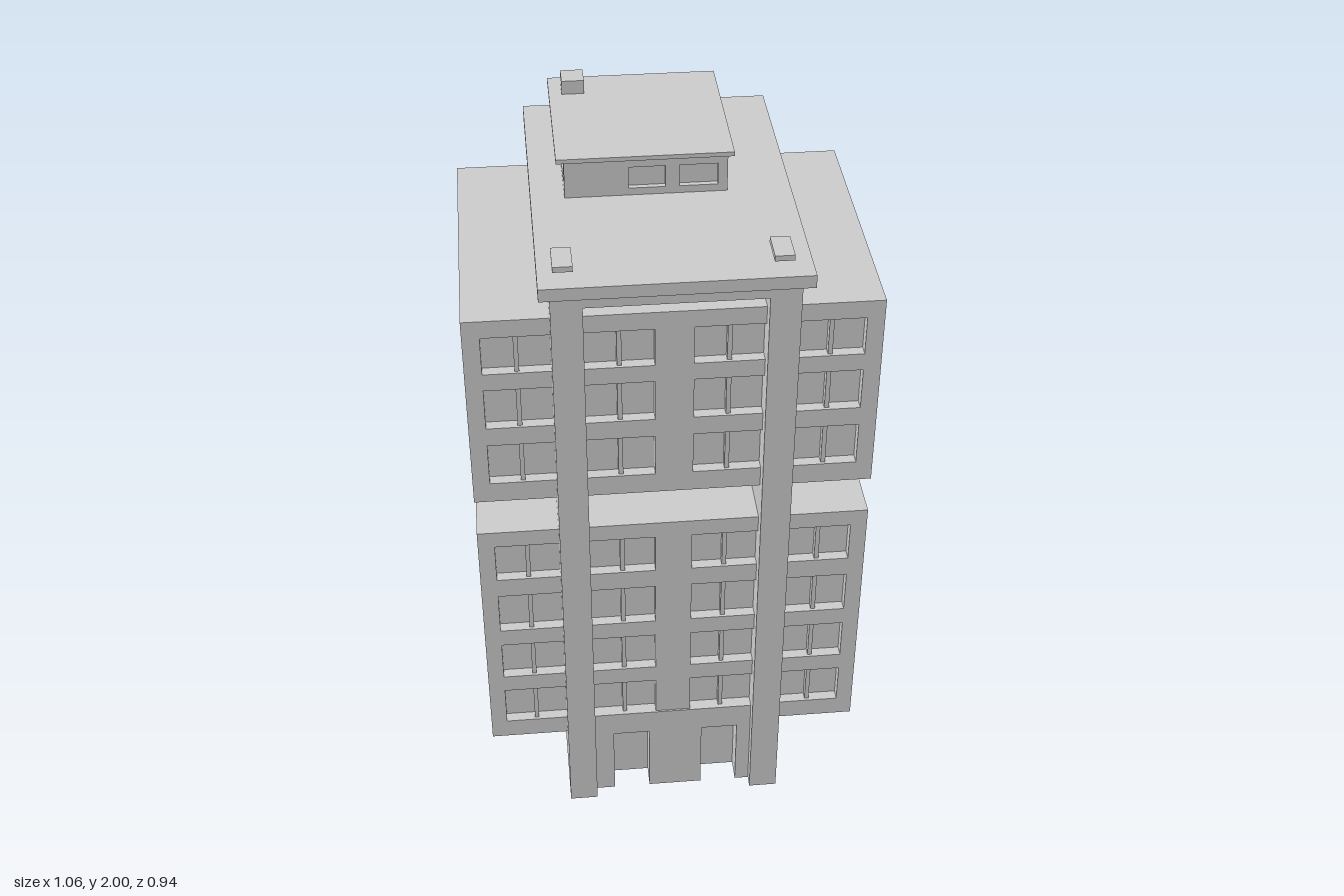
import * as THREE from 'three';

const mat = new THREE.MeshStandardMaterial({ color: 0xcccccc, flatShading: true });
const ZC = 0.005; // middle of the storeys in z

// Box from its limits on each axis
function box(parent, name, x0, x1, y0, y1, z0, z1) {
  const m = new THREE.Mesh(new THREE.BoxGeometry(x1 - x0, y1 - y0, z1 - z0), mat);
  m.position.set((x0 + x1) / 2, (y0 + y1) / 2, (z0 + z1) / 2);
  m.name = name;
  parent.add(m);
  return m;
}

function rectPoints(x0, x1, y0, y1) {
  return [[x0, y0], [x1, y0], [x1, y1], [x0, y1]].map(p => new THREE.Vector2(...p));
}

// Upright panel with rectangular holes; its face is at z = 0 and it reaches back by depth
function panel(parent, name, outer, holes, depth) {
  const shape = new THREE.Shape(rectPoints(...outer));
  for (const h of holes) shape.holes.push(new THREE.Path(rectPoints(...h)));
  const geo = new THREE.ExtrudeGeometry(shape, { depth, bevelEnabled: false });
  geo.translate(0, 0, -depth);
  const m = new THREE.Mesh(geo, mat);
  m.name = name;
  parent.add(m);
  return m;
}

// Front or back of a block: pairs of panes on every floor
function windowFacade(y0, y1, rows) {
  const g = new THREE.Group();
  const holes = [];
  for (const [b, t] of rows)
    for (const [l, r] of [[-0.485, -0.31], [-0.23, -0.05], [0.05, 0.23], [0.31, 0.485]]) {
      holes.push([l, r, b, t]);
      const c = (l + r) / 2;
      box(g, 'mullion', c - 0.006, c + 0.006, b, t, -0.03, -0.008);
    }
  panel(g, 'windowWall', [-0.53, 0.53, y0, y1], holes, 0.03);
  return g;
}

// Side of a block: frame with two bays divided by spandrels
function sideFacade(y0, y1, rows) {
  const g = new THREE.Group();
  const low = rows[0][0], high = rows[rows.length - 1][1];
  const bays = [[-0.34, -0.05], [0.05, 0.34]];
  panel(g, 'sideFrame', [-0.355, 0.355, y0, y1], bays.map(([l, r]) => [l, r, low, high]), 0.03);
  for (const [l, r] of bays)
    for (let i = 1; i < rows.length; i++)
      box(g, 'sideSpandrel', l, r, rows[i - 1][1], rows[i][0], -0.03, -0.014);
  return g;
}

function storeyBlock(name, y0, y1, rows) {
  const g = new THREE.Group();
  g.name = name;
  box(g, 'blockCore', -0.5, 0.5, y0, y1, ZC - 0.355, ZC + 0.355);
  for (const s of [1, -1]) {
    const face = windowFacade(y0, y1, rows);
    face.name = s > 0 ? 'frontFacade' : 'backFacade';
    face.rotation.y = s > 0 ? 0 : Math.PI;
    face.position.z = ZC + s * 0.385;
    const side = sideFacade(y0, y1, rows);
    side.name = s > 0 ? 'leftFacade' : 'rightFacade';
    side.rotation.y = s * Math.PI / 2;
    side.position.set(s * 0.53, 0, ZC);
    g.add(face, side);
  }
  return g;
}

// Ground floor, open underneath, with two recessed doors
function groundFloor() {
  const g = new THREE.Group();
  g.name = 'groundFloor';
  const shape = new THREE.Shape([
    [-0.23, 0], [-0.175, 0], [-0.175, 0.23], [-0.07, 0.23], [-0.07, 0], [0.085, 0],
    [0.085, 0.23], [0.19, 0.23], [0.19, 0], [0.23, 0], [0.23, 0.31], [-0.23, 0.31],
  ].map(p => new THREE.Vector2(...p)));
  const geo = new THREE.ExtrudeGeometry(shape, { depth: 0.07, bevelEnabled: false });
  const wall = new THREE.Mesh(geo, mat);
  wall.name = 'entranceWall';
  wall.position.z = 0.325;
  g.add(wall);
  for (const x of [-0.175, 0.085]) box(g, 'door', x, x + 0.105, 0, 0.23, 0.315, 0.33);
  box(g, 'rearWall', -0.23, 0.23, 0, 0.25, -0.37, -0.35);
  return g;
}

function roofHouse() {
  const g = new THREE.Group();
  g.name = 'roofHouse';
  const y0 = 1.845, y1 = 1.955;
  box(g, 'houseCore', -0.235, 0.155, y0, y1, -0.385, 0.03);
  const front = panel(g, 'houseFront', [-0.25, 0.17, y0, y1],
    [[-0.085, 0.01, 1.865, 1.925], [0.045, 0.145, 1.865, 1.925]], 0.015);
  front.position.z = 0.045;
  for (const s of [1, -1]) {
    const side = panel(g, 'houseSide', [-0.2075, 0.2075, y0, y1], [[-0.187, 0.187, 1.865, 1.925]], 0.015);
    side.rotation.y = s * Math.PI / 2;
    side.position.set(s > 0 ? 0.17 : -0.25, 0, -0.1775);
  }
  box(g, 'houseRoof', -0.27, 0.185, 1.95, 1.962, -0.4, 0.057);
  box(g, 'chimney', -0.235, -0.175, 1.962, 2, -0.365, -0.3);
  return g;
}

export function createModel() {
  const model = new THREE.Group();
  model.name = 'towerBlock';

  // Two tall walls with a deck between them, and the flat roof on top
  for (const x of [-0.31, 0.23]) box(model, 'tallWall', x, x + 0.08, 0, 1.81, -0.415, 0.43);
  box(model, 'roofDeck', -0.23, 0.23, 1.76, 1.81, -0.415, 0.43);
  box(model, 'roofSlab', -0.338, 0.335, 1.81, 1.845, -0.47, 0.47);

  // Floors, listed as the bottom and top of each window row
  model.add(storeyBlock('lowerBlock', 0.25, 1.03,
    [[0.31, 0.435], [0.49, 0.615], [0.67, 0.8], [0.86, 0.98]]));
  model.add(storeyBlock('upperBlock', 1.14, 1.71,
    [[1.2, 1.325], [1.38, 1.5], [1.55, 1.66]]));

  model.add(groundFloor(), roofHouse());

  // Roof vents: a small foot under a wider cap
  for (const x of [-0.3, 0.24]) {
    box(model, 'ventFoot', x + 0.01, x + 0.04, 1.845, 1.855, 0.335, 0.395);
    box(model, 'ventCap', x, x + 0.05, 1.853, 1.868, 0.32, 0.41);
  }
  return model;
}
